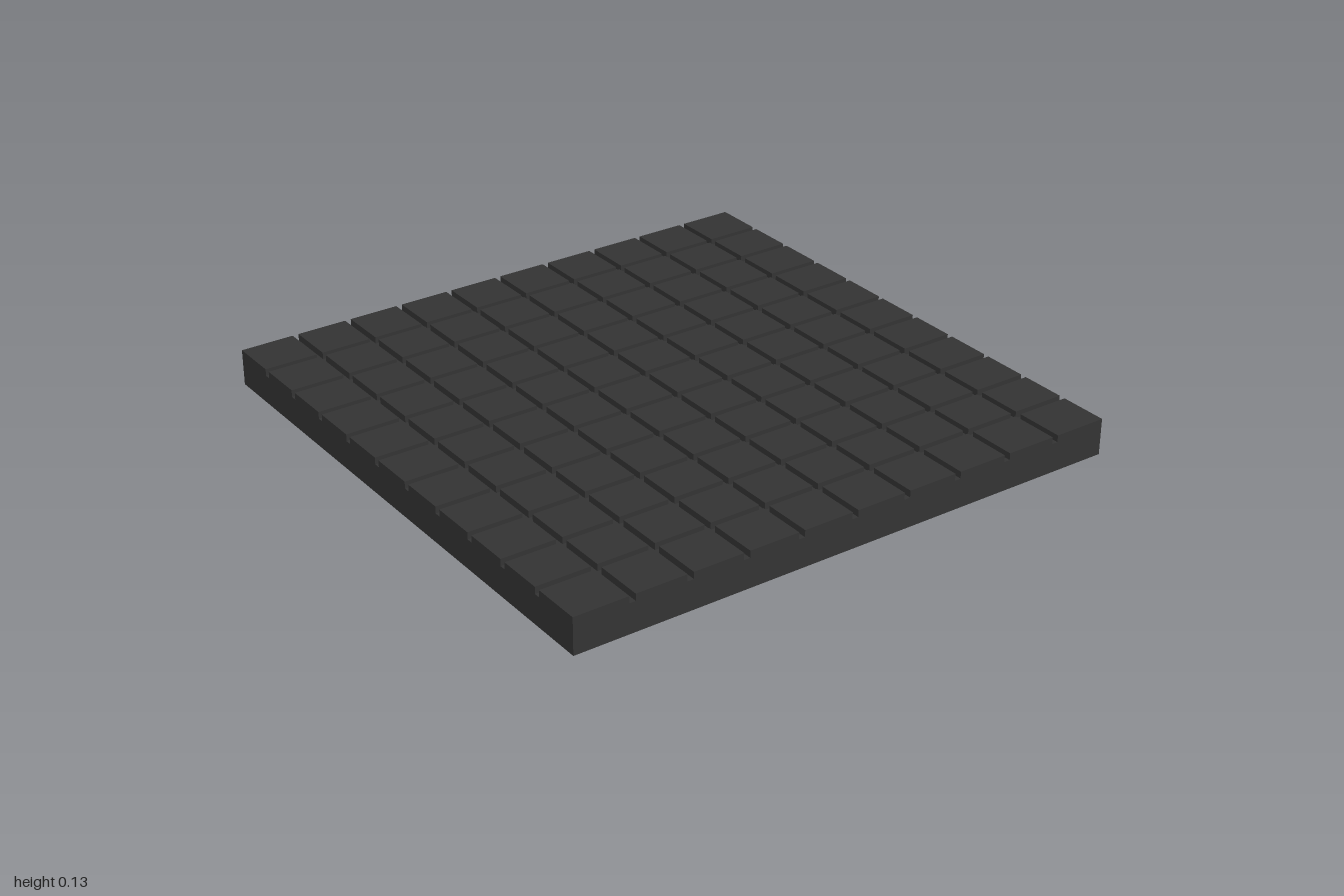
import * as THREE from 'three';

const SIZE = 2, HEIGHT = 0.127, GROOVE_DEPTH = 0.024, GROOVE_WIDTH = 0.022;
const COLUMNS = 10, ROWS = 11;

// Start and end of each raised block along one side; the outer blocks reach the rim
function spans(count) {
  const pitch = SIZE / count, half = GROOVE_WIDTH / 2;
  return Array.from({ length: count }, (_, i) => [
    -SIZE / 2 + i * pitch + (i > 0 ? half : 0),
    -SIZE / 2 + (i + 1) * pitch - (i < count - 1 ? half : 0),
  ]);
}

export function createModel() {
  const model = new THREE.Group();
  model.name = 'groovedTile';
  const material = new THREE.MeshStandardMaterial({ color: 0x333333 });

  const addBox = (parent, name, [x0, x1], [y0, y1], [z0, z1]) => {
    const mesh = new THREE.Mesh(new THREE.BoxGeometry(x1 - x0, y1 - y0, z1 - z0), material);
    mesh.position.set((x0 + x1) / 2, (y0 + y1) / 2, (z0 + z1) / 2);
    mesh.name = name;
    parent.add(mesh);
  };

  // Solid slab up to the groove floor
  const floor = HEIGHT - GROOVE_DEPTH, full = [-SIZE / 2, SIZE / 2];
  addBox(model, 'baseSlab', full, [0, floor], full);

  // Grid of raised blocks separated by the grooves
  const blocks = new THREE.Group();
  blocks.name = 'raisedBlocks';
  model.add(blocks);
  spans(ROWS).forEach((z, row) => {
    spans(COLUMNS).forEach((x, column) => {
      addBox(blocks, `raisedBlock_${row + 1}_${column + 1}`, x, [floor, HEIGHT], z);
    });
  });

  return model;
}
